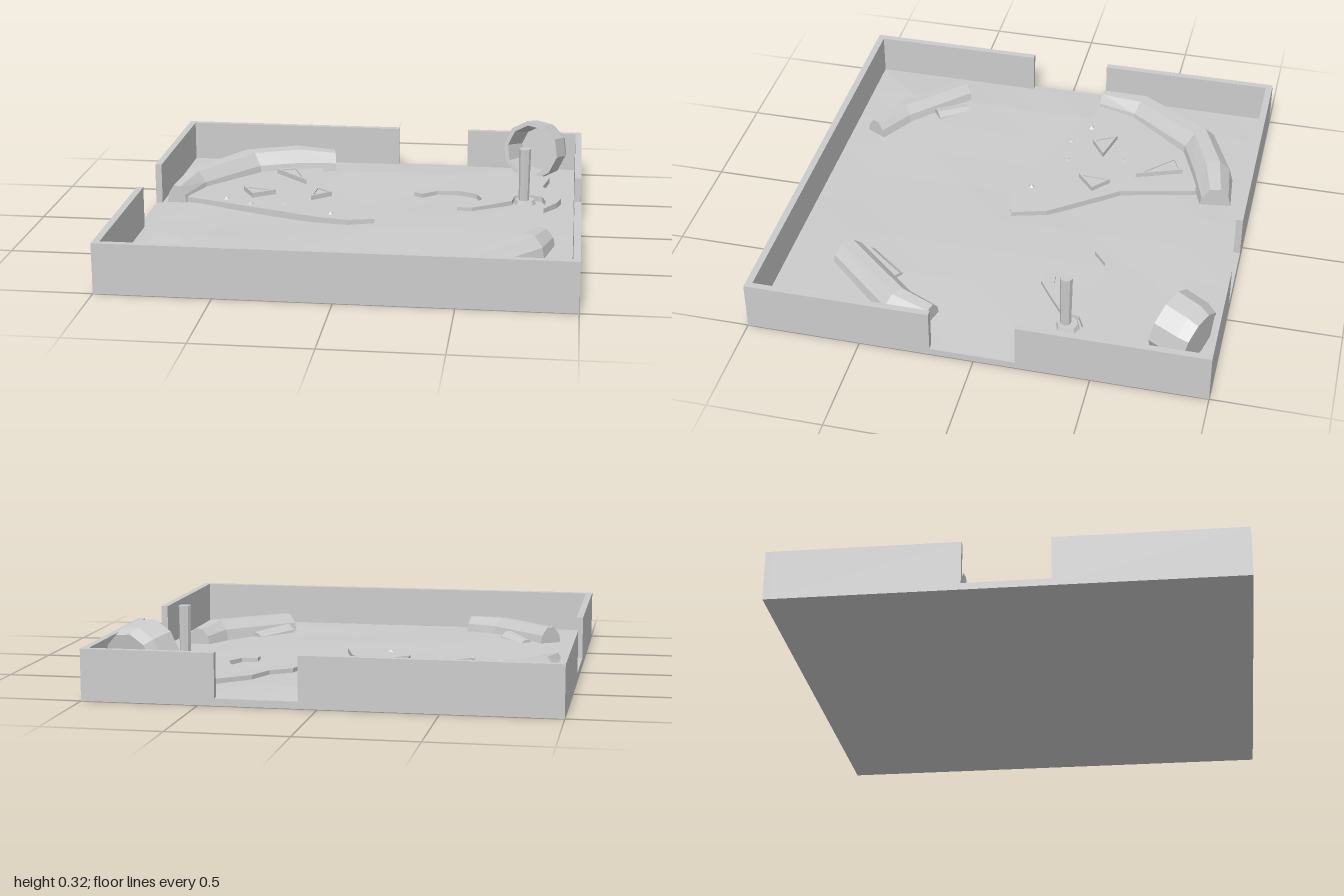
import * as THREE from 'three';

const mat = new THREE.MeshStandardMaterial({ color: 0xcccccc, flatShading: true, side: THREE.DoubleSide });

export function createModel() {
  const model = new THREE.Group();
  const add = (name, geometry, x = 0, y = 0, z = 0) => {
    const mesh = new THREE.Mesh(geometry, mat);
    mesh.name = name;
    mesh.position.set(x, y, z);
    model.add(mesh);
    return mesh;
  };

  // Flat slab from an outline of [x, z] points, between two heights
  const slab = (name, points, y0, y1, hole) => {
    const toV = ([x, z]) => new THREE.Vector2(x, -z);
    const shape = new THREE.Shape(points.map(toV));
    if (hole) shape.holes.push(new THREE.Path(hole.map(toV)));
    const g = new THREE.ExtrudeGeometry(shape, { depth: y1 - y0, bevelEnabled: false });
    return add(name, g.rotateX(-Math.PI / 2), 0, y0, 0);
  };

  // Faceted ridge lofted along stations [x, z, halfWidth, topY]
  const profile = [[-1, 0], [-0.8, 0.6], [-0.3, 1], [0.35, 0.97], [0.85, 0.55], [1, 0]];
  const ridge = (name, stations) => {
    const base = 0.025;
    const rings = stations.map(([x, z, w, h], i) => {
      const a = stations[Math.max(i - 1, 0)], b = stations[Math.min(i + 1, stations.length - 1)];
      const d = new THREE.Vector2(b[0] - a[0], b[1] - a[1]).normalize();
      return profile.map(([u, v]) => [x - d.y * u * w, base + v * (h - base), z + d.x * u * w]);
    });
    const pos = [];
    const tri = (...p) => p.forEach((q) => pos.push(...q));
    const n = profile.length, last = rings[rings.length - 1];
    for (let i = 0; i < rings.length - 1; i++) {
      for (let j = 0; j < n - 1; j++) {
        const a = rings[i][j], b = rings[i][j + 1], c = rings[i + 1][j + 1], d = rings[i + 1][j];
        tri(a, b, c);
        tri(a, c, d);
      }
    }
    for (let j = 1; j < n - 1; j++) {
      tri(rings[0][0], rings[0][j + 1], rings[0][j]);
      tri(last[0], last[j], last[j + 1]);
    }
    const g = new THREE.BufferGeometry();
    g.setAttribute('position', new THREE.Float32BufferAttribute(pos, 3));
    g.computeVertexNormals();
    return add(name, g);
  };

  // Tray base and gently uneven floor
  add('trayBase', new THREE.BoxGeometry(2, 0.03, 2), 0, 0.015, 0);
  const floor = new THREE.PlaneGeometry(1.98, 1.98, 9, 9).rotateX(-Math.PI / 2);
  const p = floor.attributes.position;
  for (let i = 0; i < p.count; i++) {
    const x = p.getX(i), z = p.getZ(i);
    const inside = Math.min(1, (0.99 - Math.max(Math.abs(x), Math.abs(z))) * 4);
    p.setY(i, 0.032 + inside * (0.011 + 0.009 * Math.sin(4.1 * x + 2.3 * z) * Math.cos(3.7 * z - 1.2 * x)));
  }
  floor.computeVertexNormals();
  add('floor', floor);

  // Walls: full front, the others with a doorway gap
  const H = 0.22, T = 0.03;
  const wallX = (name, x0, x1, z) => add(name, new THREE.BoxGeometry(x1 - x0, H, T), (x0 + x1) / 2, H / 2, z);
  const wallZ = (name, z0, z1, x) => add(name, new THREE.BoxGeometry(T, H, z1 - z0), x, H / 2, (z0 + z1) / 2);
  wallX('frontWall', -1, 1, 1 - T / 2);
  wallX('backWallRight', -1, 0.08, -1 + T / 2);
  wallX('backWallLeft', 0.43, 1, -1 + T / 2);
  for (const [side, s] of [['left', 1], ['right', -1]]) {
    wallZ(side + 'WallBack', -1, -0.18, s * (1 - T / 2));
    wallZ(side + 'WallFront', 0.19, 1, s * (1 - T / 2));
  }

  // Wedge-shaped slice with its thick crust
  slab('slice', [[-0.85, -0.18], [-0.2, 0.06], [-0.05, 0.09], [0.07, 0.06], [0.02, -0.1],
    [-0.2, -0.4], [-0.28, -0.74], [-0.5, -0.72], [-0.8, -0.35]], 0.02, 0.067);
  ridge('crust', [[-0.9, -0.18, 0.05, 0.12], [-0.86, -0.39, 0.085, 0.14], [-0.635, -0.705, 0.1, 0.155],
    [-0.41, -0.8, 0.1, 0.155], [-0.23, -0.84, 0.075, 0.13]]);

  // Triangular toppings with a lowered centre
  const toppings = [
    [[-0.49, -0.62], [-0.4, -0.66], [-0.32, -0.45]],
    [[-0.6, -0.31], [-0.44, -0.27], [-0.54, -0.2]],
    [[-0.25, -0.34], [-0.17, -0.27], [-0.26, -0.19]],
  ];
  for (const t of toppings) {
    const cx = (t[0][0] + t[1][0] + t[2][0]) / 3, cz = (t[0][1] + t[1][1] + t[2][1]) / 3;
    const inner = t.map(([x, z]) => [cx + (x - cx) * 0.75, cz + (z - cz) * 0.75]);
    slab('toppingRim', t, 0.05, 0.09, inner);
    slab('toppingCentre', inner, 0.05, 0.084);
  }
  // Small crumbs on the slice
  [[-0.43, -0.37], [-0.66, -0.17], [-0.53, -0.1], [-0.38, -0.11], [-0.14, 0.01]].forEach(([x, z], i) => {
    add('crumb', new THREE.ConeGeometry(0.025, 0.02, 4), x, 0.07, z).rotation.y = i;
  });

  // Leftover crust pieces with short stubs
  ridge('leftoverRight', [[-0.83, 0.51, 0.065, 0.12], [-0.58, 0.76, 0.07, 0.12], [-0.42, 0.85, 0.055, 0.11]]);
  ridge('leftoverRightStub', [[-0.72, 0.47, 0.04, 0.06], [-0.62, 0.6, 0.05, 0.08]]);
  ridge('leftoverLeft', [[0.5, 0.7, 0.085, 0.12], [0.78, 0.39, 0.085, 0.13], [0.83, 0.23, 0.065, 0.11]]);
  ridge('leftoverLeftStub', [[0.6, 0.45, 0.045, 0.06], [0.48, 0.62, 0.05, 0.08]]);

  // Spilled puddle curling around two bays
  slab('puddle', [[0.66, -0.83], [0.5, -0.75], [0.36, -0.63], [0.31, -0.51], [0.22, -0.45], [0.21, -0.4],
    [0.25, -0.37], [0.32, -0.43], [0.42, -0.44], [0.51, -0.4], [0.54, -0.32], [0.5, -0.24], [0.43, -0.23],
    [0.43, -0.18], [0.5, -0.18], [0.6, -0.25], [0.68, -0.31], [0.69, -0.39], [0.75, -0.42], [0.82, -0.39],
    [0.84, -0.32], [0.83, -0.2], [0.89, -0.3], [0.91, -0.37], [0.82, -0.56], [0.85, -0.72]], 0.02, 0.062);

  // Upright post with a small foot
  add('post', new THREE.CylinderGeometry(0.028, 0.024, 0.28, 8), 0.735, 0.17, -0.34);
  add('postFoot', new THREE.CylinderGeometry(0.045, 0.06, 0.04, 8), 0.74, 0.04, -0.35);

  // Tipped-over cup, mouth towards the puddle
  const cupProfile = [[0, 0.16], [0.125, 0.16], [0.143, 0.11], [0.146, 0], [0.124, 0], [0.108, 0.13], [0, 0.13]]
    .map(([r, y]) => new THREE.Vector2(r, y));
  const cup = add('cup', new THREE.LatheGeometry(cupProfile, 10), 0.75, 0.18, -0.78);
  cup.quaternion.setFromUnitVectors(new THREE.Vector3(0, 1, 0), new THREE.Vector3(0.4, -0.15, -0.9).normalize());

  return model;
}
